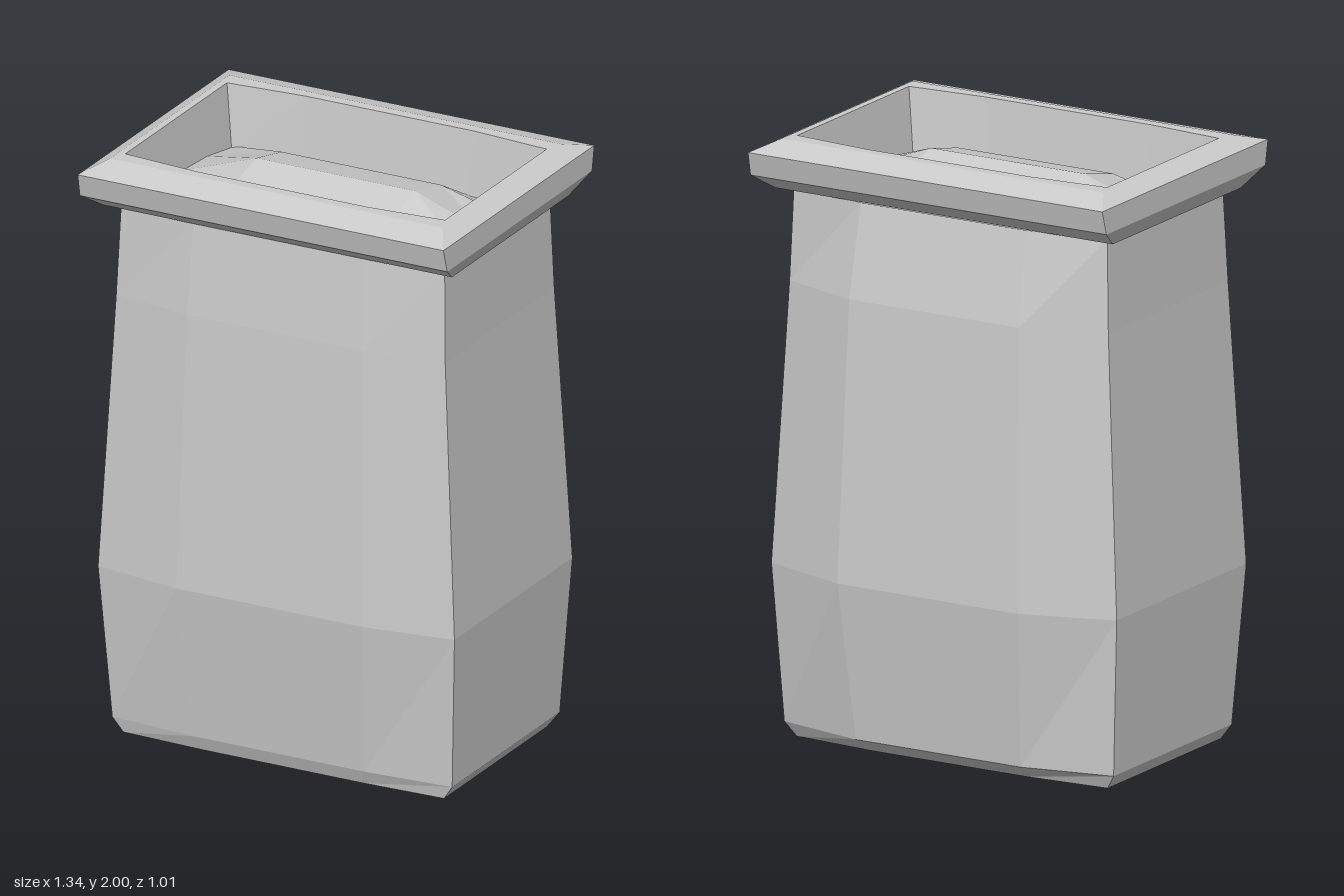
import * as THREE from 'three';

const material = new THREE.MeshStandardMaterial({ color: 0xcccccc, flatShading: true });

// Eight-point horizontal section: straight sides, front and back bowed in three facets
function section(y, x, midX, cornerF, midF, cornerB = cornerF, midB = midF) {
  return [
    [x, y, cornerF], [x, y, -cornerB], [midX, y, -midB], [-midX, y, -midB],
    [-x, y, -cornerB], [-x, y, cornerF], [-midX, y, midF], [midX, y, midF],
  ];
}

const rectangle = (y, x, z) => section(y, x, 0.3, z, z);

function makeMesh(name, triangles) {
  const geometry = new THREE.BufferGeometry();
  geometry.setAttribute('position', new THREE.Float32BufferAttribute(triangles.flat(), 3));
  geometry.computeVertexNormals();
  const mesh = new THREE.Mesh(geometry, material);
  mesh.name = name;
  return mesh;
}

// Skin a stack of sections, optionally closing the first one
function loft(name, rings, capStart = false) {
  const tris = [];
  for (let i = 0; i < rings.length - 1; i++) {
    for (let j = 0; j < 8; j++) {
      const k = (j + 1) % 8;
      const a = rings[i][j], b = rings[i][k], c = rings[i + 1][k], d = rings[i + 1][j];
      tris.push(a, b, c, a, c, d);
    }
  }
  if (capStart) {
    const r = rings[0];
    for (let j = 1; j < 7; j++) tris.push(r[0], r[j + 1], r[j]);
  }
  return makeMesh(name, tris);
}

// Mound of contents: low along the walls, ridged along the middle
function createContents() {
  const xs = [-0.57, -0.29, 0, 0.29, 0.56];
  const zs = [-0.35, -0.17, 0, 0.17, 0.35];
  const middle = [1.78, 1.88, 1.92, 1.88, 1.78];
  const ends = [1.78, 1.81, 1.82, 1.81, 1.78];
  const point = (i, j) => [xs[i], (i === 0 || i === 4 ? ends : middle)[j], zs[j]];
  const tris = [];
  for (let i = 0; i < 4; i++) {
    for (let j = 0; j < 4; j++) {
      const a = point(i, j), b = point(i, j + 1), c = point(i + 1, j + 1), d = point(i + 1, j);
      tris.push(a, b, c, a, c, d);
    }
  }
  return makeMesh('contents', tris);
}

export function createModel() {
  const model = new THREE.Group();
  model.name = 'openContainer';

  // Tapered body with a chamfered foot and a fuller back
  model.add(loft('body', [
    section(0, 0.585, 0.29, 0.35, 0.36, 0.34, 0.36),
    section(0.05, 0.62, 0.31, 0.36, 0.38, 0.36, 0.425),
    section(0.58, 0.65, 0.34, 0.4, 0.445, 0.39, 0.49),
    section(1.52, 0.6, 0.32, 0.37, 0.41, 0.36, 0.45),
    section(1.83, 0.59, 0.31, 0.355, 0.385, 0.35, 0.395),
  ], true));

  // Flared rim, flat on top, turning down into the opening
  model.add(loft('rim', [
    section(1.83, 0.58, 0.3, 0.35, 0.375),
    rectangle(1.83, 0.635, 0.39),
    rectangle(1.89, 0.67, 0.485),
    rectangle(1.97, 0.667, 0.505),
    rectangle(2, 0.607, 0.4),
    section(2, 0.583, 0.31, 0.34, 0.362),
    section(1.77, 0.553, 0.29, 0.318, 0.34),
  ]));

  model.add(createContents());
  return model;
}
